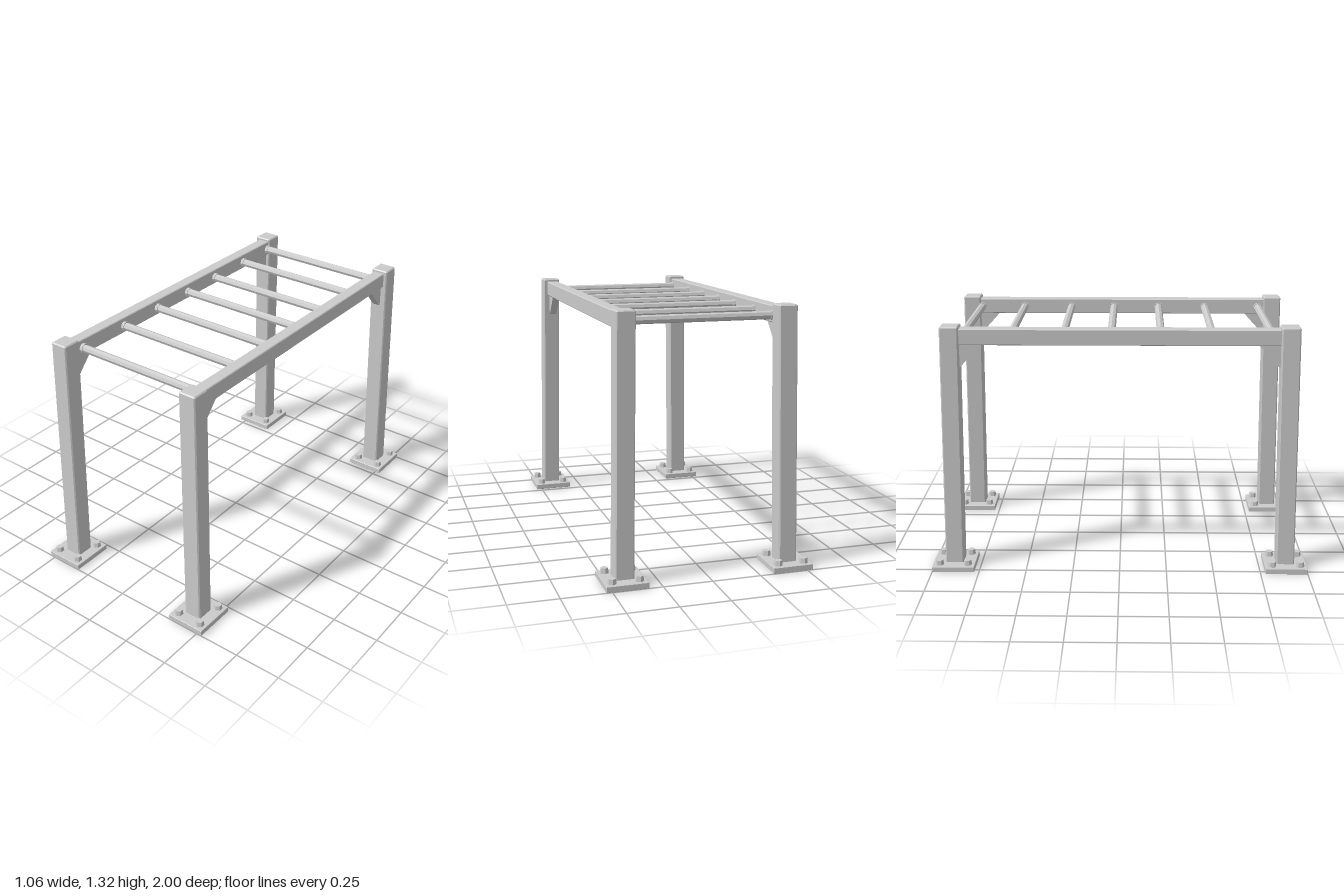
import * as THREE from 'three';

const material = new THREE.MeshStandardMaterial({ color: 0xcccccc, flatShading: true });

function add(parent, name, geometry, x = 0, y = 0, z = 0) {
  const mesh = new THREE.Mesh(geometry, material);
  mesh.name = name;
  mesh.position.set(x, y, z);
  parent.add(mesh);
  return mesh;
}

// Upright beam with chamfered edges, from y = 0 to the given height
function chamferedBeam(width, height, depth, c) {
  const w = width / 2, d = depth / 2;
  const shape = new THREE.Shape([
    [-w + c, -d], [w - c, -d], [w, -d + c], [w, d - c],
    [w - c, d], [-w + c, d], [-w, d - c], [-w, -d + c],
  ].map(([x, y]) => new THREE.Vector2(x, y)));
  const g = new THREE.ExtrudeGeometry(shape, {
    depth: height - 2 * c, bevelEnabled: true, bevelThickness: c,
    bevelSize: c, bevelOffset: -c, bevelSegments: 1,
  });
  return g.translate(0, 0, c).rotateX(-Math.PI / 2);
}

// Post leaning inward as it rises
function postGeometry(sx, sz) {
  const base = 0.02, height = 1.295;
  const g = chamferedBeam(0.095, height, 0.096, 0.006);
  const p = g.attributes.position;
  for (let i = 0; i < p.count; i++) {
    const t = p.getY(i) / height;
    p.setX(i, p.getX(i) + sx * (0.422 - 0.02 * t));
    p.setZ(i, p.getZ(i) + sz * (0.887 - 0.026 * t));
  }
  g.translate(0, base, 0).computeVertexNormals();
  return g;
}

// Triangular brace under a rail, against the inner side of a post
function braceGeometry(sz) {
  const shape = new THREE.Shape();
  shape.moveTo(-0.83 * sz, 1.095);
  shape.lineTo(-0.83 * sz, 1.23);
  shape.lineTo(-0.695 * sz, 1.23);
  shape.lineTo(-0.81 * sz, 1.105);
  shape.closePath();
  return new THREE.ExtrudeGeometry(shape, { depth: 0.04, bevelEnabled: false })
    .translate(0, 0, -0.02).rotateY(Math.PI / 2);
}

export function createModel() {
  const model = new THREE.Group();
  model.name = 'monkeyBars';

  for (const sx of [-1, 1]) {
    for (const sz of [-1, 1]) {
      const leg = new THREE.Group();
      leg.name = `${sz > 0 ? 'front' : 'back'}${sx > 0 ? 'Left' : 'Right'}Leg`;
      model.add(leg);
      add(leg, 'post', postGeometry(sx, sz));
      add(leg, 'basePlate', chamferedBeam(0.21, 0.03, 0.225, 0.002), sx * 0.425, 0, sz * 0.8875);
      // Hexagonal bolt heads near the plate corners
      for (const bx of [-1, 1]) {
        for (const bz of [-1, 1]) {
          add(leg, 'bolt', new THREE.CylinderGeometry(0.019, 0.023, 0.028, 6),
            sx * 0.425 + bx * 0.068, 0.042, sz * 0.8875 + bz * 0.075);
        }
      }
      add(leg, 'brace', braceGeometry(sz), sx * 0.398);
    }
    // Long rail between front and back posts
    add(model, sx > 0 ? 'leftRail' : 'rightRail',
      chamferedBeam(0.065, 1.66, 0.083, 0.004).translate(0, -0.83, 0).rotateX(Math.PI / 2),
      sx * 0.398, 1.259, 0);
  }

  // Rungs across the rails, with a small collar at each end
  [-0.805, -0.56, -0.29, -0.045, 0.21, 0.475, 0.78].forEach((z, i) => {
    const rung = new THREE.Group();
    rung.name = `rung${i + 1}`;
    rung.position.set(0, 1.256, z);
    model.add(rung);
    add(rung, 'bar', new THREE.CylinderGeometry(0.021, 0.021, 0.76, 8).rotateZ(Math.PI / 2));
    for (const sx of [-1, 1]) {
      add(rung, 'collar', new THREE.CylinderGeometry(0.025, 0.025, 0.02, 8).rotateZ(Math.PI / 2), sx * 0.36);
    }
  });

  return model;
}
